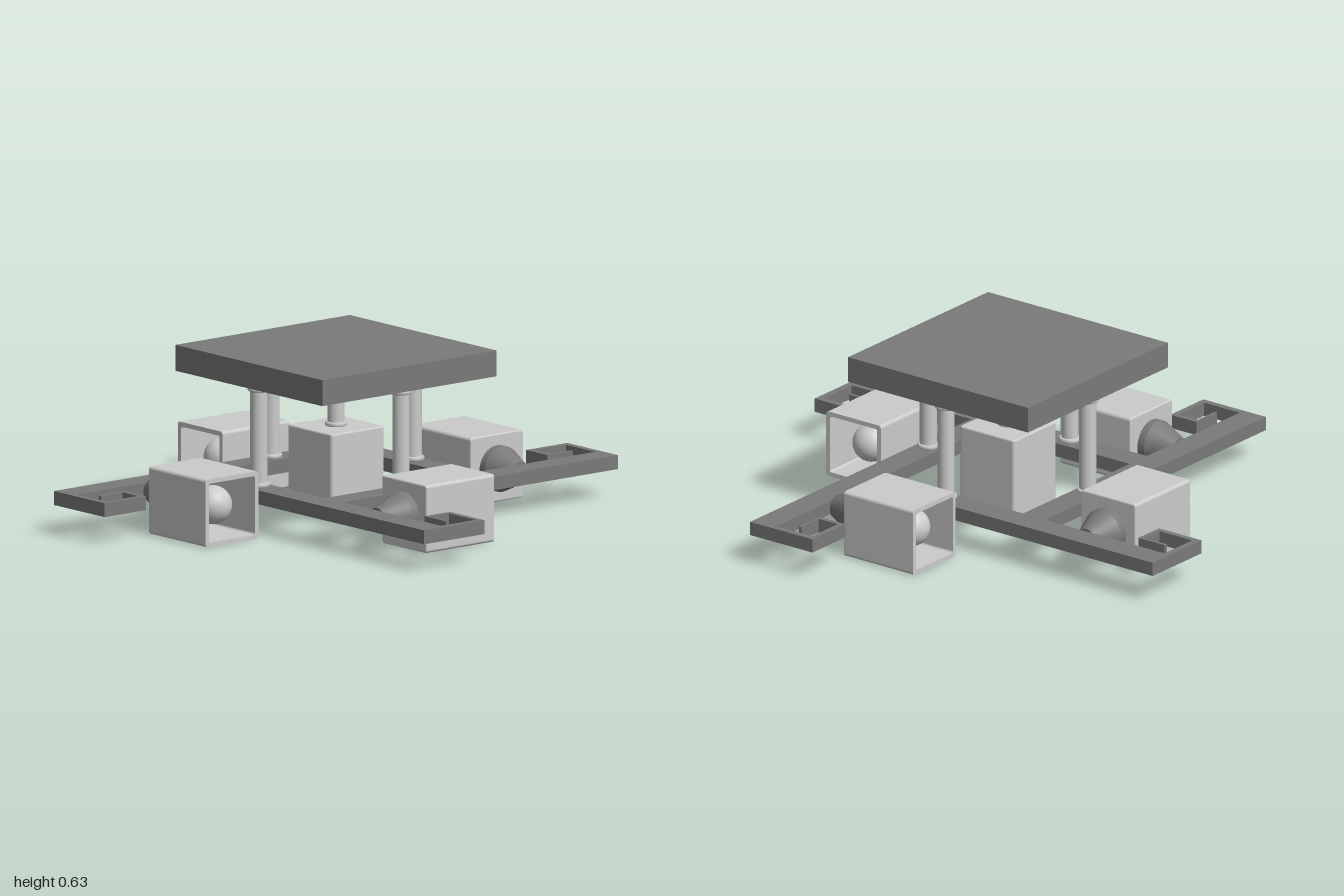
import * as THREE from 'three';

const light = new THREE.MeshStandardMaterial({ color: 0xcccccc });
const dark = new THREE.MeshStandardMaterial({ color: 0x7a7a7a });
const shadeMat = new THREE.MeshStandardMaterial({ color: 0xcccccc, side: THREE.DoubleSide });

function add(parent, name, geometry, material, x = 0, y = 0, z = 0) {
  const mesh = new THREE.Mesh(geometry, material);
  mesh.name = name;
  mesh.position.set(x, y, z);
  parent.add(mesh);
  return mesh;
}

// Box given by its x, y and z ranges
function block(parent, name, [x0, x1], [y0, y1], [z0, z1], material) {
  return add(parent, name, new THREE.BoxGeometry(x1 - x0, y1 - y0, z1 - z0), material,
    (x0 + x1) / 2, (y0 + y1) / 2, (z0 + z1) / 2);
}

function roundedSquare(Type, half, r) {
  const s = new Type(), c = half - r;
  s.absarc(c, c, r, 0, Math.PI / 2);
  s.absarc(-c, c, r, Math.PI / 2, Math.PI);
  s.absarc(-c, -c, r, Math.PI, Math.PI * 1.5);
  s.absarc(c, -c, r, Math.PI * 1.5, Math.PI * 2);
  s.closePath();
  return s;
}

// Solid of revolution along +z; points are [radius, z]
function turned(points) {
  return new THREE.LatheGeometry(points.map(([r, z]) => new THREE.Vector2(r, z)), 32).rotateX(Math.PI / 2);
}

// Square lamp opening towards local +z, its back at z = 0
function lamp(name, withSocket) {
  const g = new THREE.Group();
  g.name = name;
  const outer = roundedSquare(THREE.Shape, 0.127, 0.012);
  add(g, 'shadeBack', new THREE.ExtrudeGeometry(outer, {
    depth: 0.014, bevelThickness: 0.006, bevelSize: 0.006, bevelOffset: -0.006, bevelSegments: 3, curveSegments: 5,
  }), shadeMat, 0, 0, 0.006);
  const ring = roundedSquare(THREE.Shape, 0.127, 0.012);
  ring.holes.push(roundedSquare(THREE.Path, 0.11, 0.008));
  add(g, 'shadeWalls', new THREE.ExtrudeGeometry(ring, {
    depth: 0.305, bevelEnabled: false, curveSegments: 5,
  }), shadeMat, 0, 0, 0.02);
  // Bulb with a neck running back to the shade
  const profile = [[0.035, 0.02], [0.035, 0.1], [0.04, 0.155]];
  for (let i = 0; i <= 14; i++) {
    const a = -0.9 + (i / 14) * (Math.PI / 2 + 0.9);
    profile.push([Math.max(0, 0.072 * Math.cos(a)), 0.215 + 0.072 * Math.sin(a)]);
  }
  add(g, 'bulb', turned(profile), light);
  if (withSocket) {
    // Tapered socket with a short straight collar
    const cone = new THREE.CylinderGeometry(0.085, 0.042, 0.1, 32).rotateX(Math.PI / 2);
    add(g, 'socketCone', cone, dark, 0, 0, -0.08);
    const collar = new THREE.CylinderGeometry(0.085, 0.085, 0.03, 32).rotateX(Math.PI / 2);
    add(g, 'socketCollar', collar, dark, 0, 0, -0.015);
  }
  return g;
}

// Round post with a small rounded flange at each end
function post(name, y0, y1) {
  const g = new THREE.Group();
  g.name = name;
  add(g, 'postShaft', new THREE.CylinderGeometry(0.032, 0.032, y1 - y0, 28), light, 0, (y0 + y1) / 2, 0);
  const flange = [[0, -0.009], [0.036, -0.009], [0.041, -0.005], [0.041, 0.005], [0.036, 0.009], [0, 0.009]]
    .map(([r, y]) => new THREE.Vector2(r, y));
  for (const y of [y0 + 0.009, y1 - 0.009]) {
    add(g, 'postFlange', new THREE.LatheGeometry(flange, 28), light, 0, y, 0);
  }
  return g;
}

// One quarter: frame bar, scroll end, post and side lamp
function arm() {
  const g = new THREE.Group();
  const y = [0.11, 0.162];
  block(g, 'frameBar', [-0.42, -0.318], y, [-0.318, 1], dark);
  // Squared scroll, thinner with each turn
  block(g, 'scrollOuter', [-0.318, -0.13], y, [0.975, 1], dark);
  block(g, 'scrollSide', [-0.152, -0.13], y, [0.803, 0.975], dark);
  block(g, 'scrollInner', [-0.252, -0.152], y, [0.803, 0.822], dark);
  block(g, 'scrollTip', [-0.252, -0.24], y, [0.822, 0.925], dark);

  const p = post('post', 0.162, 0.537);
  p.position.x = -0.37;
  g.add(p);

  const l = lamp('sideLamp', true);
  l.rotation.y = Math.PI / 2;
  l.position.set(-0.19, 0.13, 0.613);
  g.add(l);
  return g;
}

export function createModel() {
  const model = new THREE.Group();
  model.name = 'ceilingLamp';

  // Ceiling plate with two fixing pins below
  block(model, 'ceilingPlate', [-0.418, 0.418], [0.535, 0.632], [-0.418, 0.418], dark);
  for (const z of [-0.19, 0.19]) {
    add(model, 'fixingPin', new THREE.CylinderGeometry(0.01, 0.01, 0.03, 16), dark, 0, 0.525, z);
  }

  // Four arms in a pinwheel
  for (let i = 0; i < 4; i++) {
    const a = arm();
    a.name = 'arm' + (i + 1);
    a.rotation.y = (i * Math.PI) / 2;
    model.add(a);
  }

  // Middle lamp hanging face down on its own post
  model.add(post('centrePost', 0.34, 0.537));
  const centre = lamp('centreLamp', false);
  centre.rotation.x = Math.PI / 2;
  centre.position.y = 0.342;
  model.add(centre);

  return model;
}
